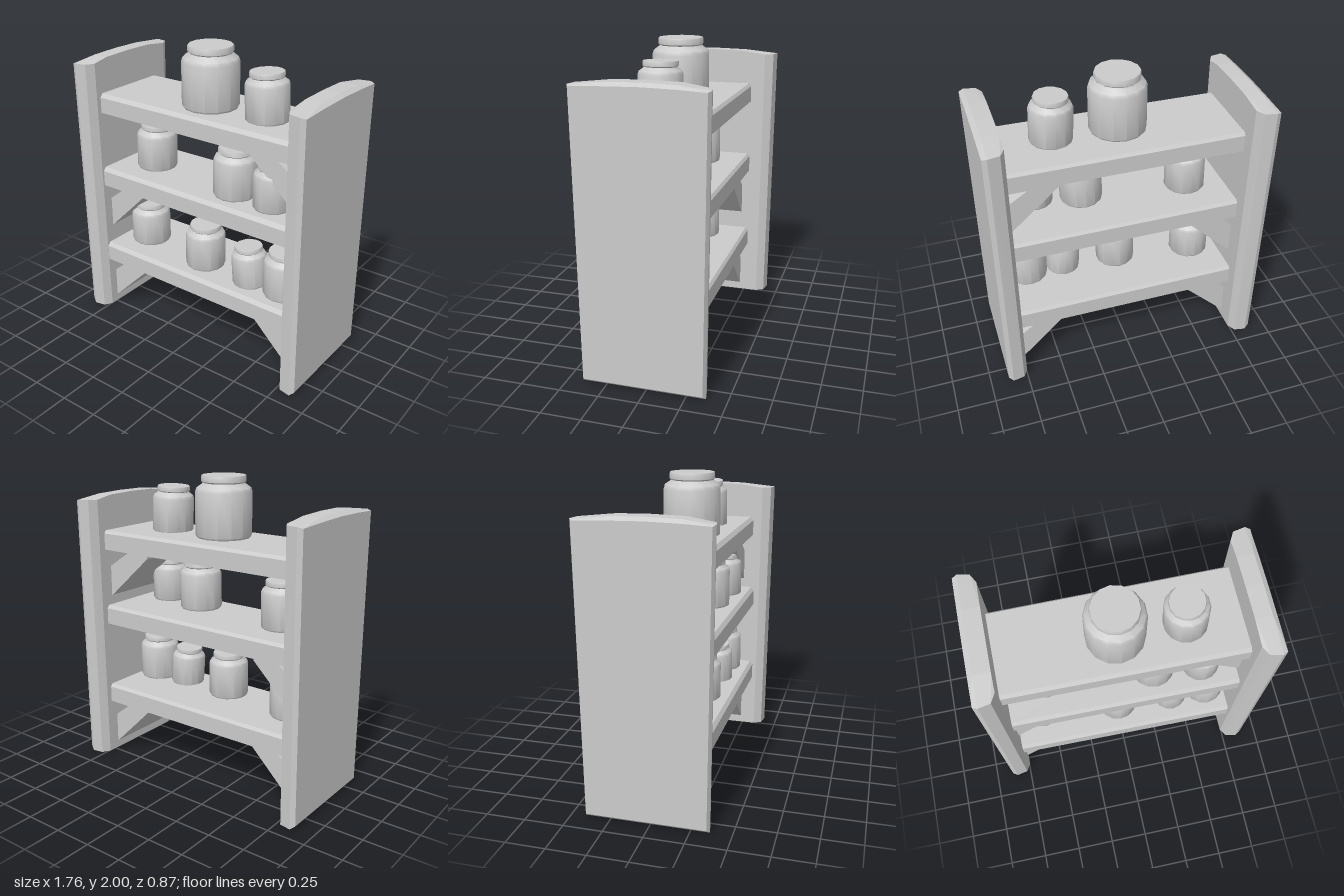
import * as THREE from 'three';
import { toCreasedNormals } from 'three/addons/utils/BufferGeometryUtils.js';
import { ConvexGeometry } from 'three/addons/geometries/ConvexGeometry.js';

const V = (x, y, z) => new THREE.Vector3(x, y, z);
const grey = new THREE.MeshStandardMaterial({ color: 0xcccccc });

function add(parent, name, geometry) {
  const mesh = new THREE.Mesh(geometry, grey);
  mesh.name = name;
  parent.add(mesh);
  return mesh;
}

// Upright board: bevelled footprint, slightly wider and gently arched at the top
function sidePanel(side, back, front) {
  const points = [];
  // [distance from centre, inset of front and back, lift of bottom and drop of top]
  const rows = [[0.745, 0.07, 0], [0.775, 0.015, 0], [0.85, 0, 0], [0.88, 0.015, 0.025]];
  for (const [x, inset, trim] of rows) {
    for (const z of [back + inset, front - inset]) {
      points.push(V(side * x, trim, z * 0.95), V(side * x, 1.82 - trim * 0.3, z));
    }
    for (const z of [-0.2, 0, 0.2]) points.push(V(side * x, 1.845 - z * z * 0.1 - trim * 0.8, z));
  }
  return new ConvexGeometry(points);
}

// Horizontal plank with worn upper edges
function shelf(bottom, front) {
  const section = [
    [-0.27, 0], [-0.27, 0.11], [-0.255, 0.13],
    [front - 0.02, 0.13], [front, 0.105], [front, 0],
  ];
  const points = [];
  for (const x of [-0.76, 0.76]) {
    for (const [z, y] of section) points.push(V(x, bottom + y, z + (z > 0 ? x * 0.012 : 0)));
  }
  return new ConvexGeometry(points);
}

// Wide diagonal support between a panel and the underside of a shelf
function brace(side, shelfBottom, shift) {
  const section = [[0.76, -0.13], [0.76, -0.33], [0.74, -0.325], [0.44, -0.03], [0.44, 0.01], [0.58, 0.01]];
  const points = [];
  for (const z of [-0.22, 0.24]) {
    for (const [x, y] of section) {
      points.push(V(side * (x < 0.7 ? x - shift : x), shelfBottom + y, z));
    }
  }
  return new ConvexGeometry(points);
}

// Squat jar with a rounded shoulder and a flat lid
function jar(radius, height) {
  const profile = [
    [0, 0], [0.96, 0], [1, 0.03], [1, 0.74], [0.95, 0.8], [0.77, 0.86],
    [0.74, 0.88], [0.79, 0.9], [0.79, 0.98], [0.77, 1], [0, 1],
  ].map(([r, y]) => new THREE.Vector2(r * radius, y * height));
  return toCreasedNormals(new THREE.LatheGeometry(profile, 14), 0.65);
}

export function createModel() {
  const model = new THREE.Group();
  model.name = 'jarShelf';

  add(model, 'rightPanel', sidePanel(-1, -0.435, 0.385));
  add(model, 'leftPanel', sidePanel(1, -0.39, 0.43));

  add(model, 'lowerShelf', shelf(0.38, 0.31));
  add(model, 'middleShelf', shelf(0.96, 0.305));
  add(model, 'upperShelf', shelf(1.48, 0.29));

  add(model, 'lowerRightBrace', brace(-1, 0.38, 0));
  add(model, 'middleRightBrace', brace(-1, 0.96, 0));
  add(model, 'lowerLeftBrace', brace(1, 0.38, 0));
  add(model, 'upperLeftBrace', brace(1, 1.48, 0.03));

  // Jars: x, base y, z, radius, height, tilt
  const jars = [
    [-0.02, 1.61, 0.04, 0.182, 0.39, 0],
    [0.405, 1.605, 0.04, 0.136, 0.3, 0.045],
    [-0.487, 1.09, 0.03, 0.136, 0.305, -0.02],
    [0.213, 1.09, 0.1, 0.14, 0.32, -0.015],
    [0.518, 1.1, 0.14, 0.121, 0.285, 0],
    [-0.553, 0.51, 0.045, 0.135, 0.29, 0],
    [-0.02, 0.51, 0.105, 0.133, 0.3, -0.01],
    [0.36, 0.505, 0.125, 0.115, 0.265, 0.07],
    [0.61, 0.51, 0.115, 0.135, 0.305, -0.005],
  ];
  for (const [x, y, z, radius, height, tilt] of jars) {
    const mesh = add(model, 'jar', jar(radius, height));
    mesh.position.set(x, y, z);
    mesh.rotation.z = tilt;
  }
  return model;
}
